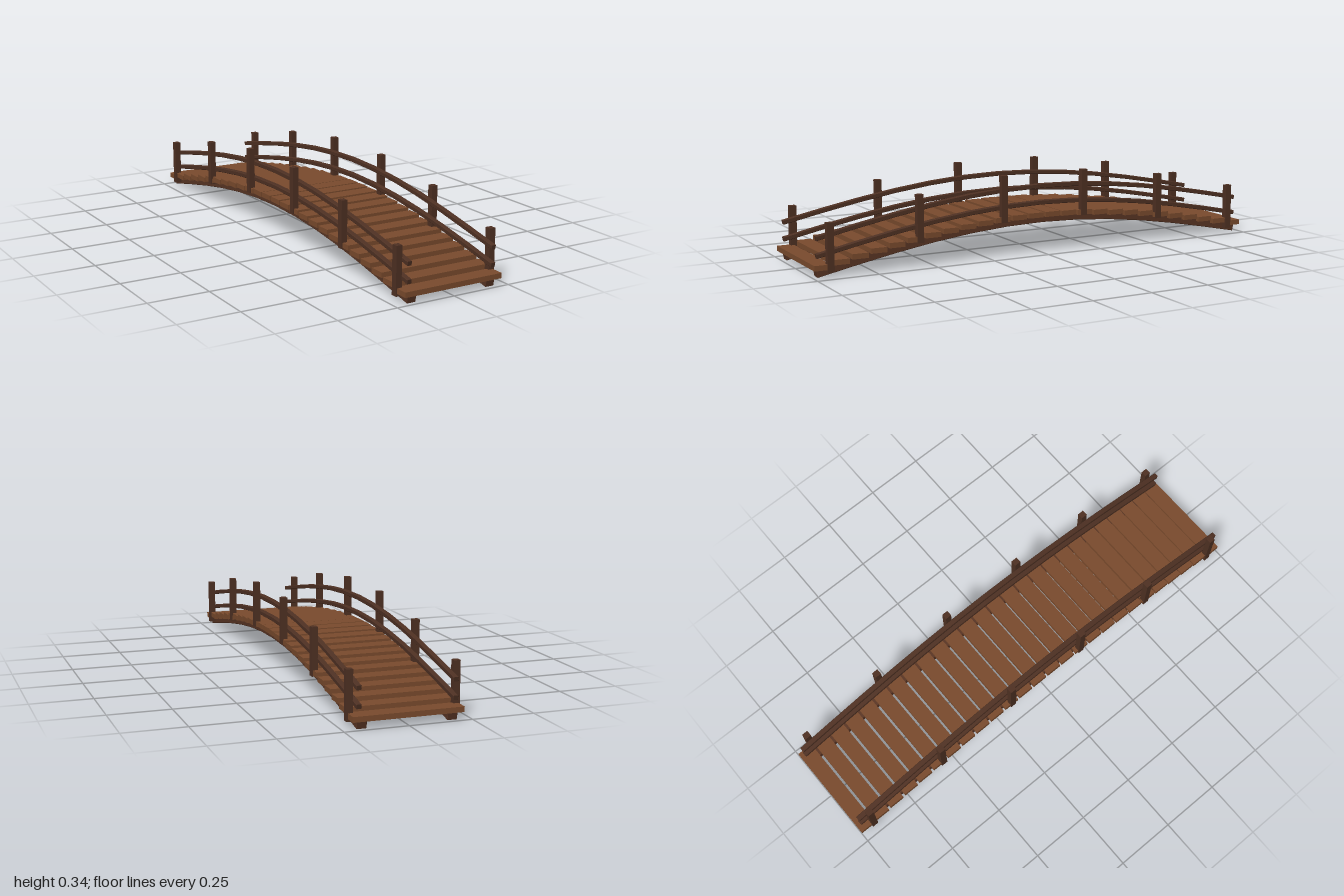
import * as THREE from 'three';

const wood = (color) => new THREE.MeshStandardMaterial({ color, flatShading: true });

// Vertical drop of the arch at distance z from the middle
const drop = (z, amount) => amount * (1 - Math.cos((z * Math.PI) / 2));

// A bent timber: side profile following the arch, extruded across x
function archedTimber(name, x, midY, width, height, amount, material) {
  const half = 0.983, segments = 12, bevel = 0.002;
  const upper = [], lower = [];
  for (let i = 0; i <= segments; i++) {
    const z = -half + (2 * half * i) / segments;
    const y = midY - drop(z, amount);
    const slope = -amount * (Math.PI / 2) * Math.sin((z * Math.PI) / 2);
    const n = new THREE.Vector2(-slope, 1).normalize().multiplyScalar(height / 2);
    upper.push(new THREE.Vector2(z + n.x, y + n.y));
    lower.push(new THREE.Vector2(z - n.x, y - n.y));
  }
  const geometry = new THREE.ExtrudeGeometry(new THREE.Shape([...lower, ...upper.reverse()]), {
    depth: width - 2 * bevel, bevelThickness: bevel, bevelSize: bevel, bevelOffset: -bevel, bevelSegments: 1,
  });
  geometry.translate(0, 0, bevel - width / 2);
  geometry.rotateY(-Math.PI / 2); // profile x -> z
  const mesh = new THREE.Mesh(geometry, material);
  mesh.name = name;
  mesh.position.x = x;
  return mesh;
}

export function createModel() {
  const bridge = new THREE.Group();
  bridge.name = 'footbridge';
  const plankWood = wood(0x7a4b2d);
  const beamWood = wood(0x593524);
  const postWood = wood(0x4f3123);

  // Deck: level planks stepping over the arch with narrow gaps
  const deck = new THREE.Group();
  deck.name = 'deck';
  const count = 26, depth = 0.067;
  const plankGeometry = new THREE.BoxGeometry(0.434, 0.021, depth);
  for (let i = 0; i < count; i++) {
    const z = (1 - depth / 2) * ((2 * i) / (count - 1) - 1);
    const plank = new THREE.Mesh(plankGeometry, plankWood);
    plank.name = 'plank';
    plank.position.set(0, 0.1655 - drop(z, 0.127), z);
    deck.add(plank);
  }
  bridge.add(deck);

  // Both sides: support beam, two rails and six posts
  const postHeight = 0.193;
  const postTops = [[0.187, 0.341], [0.56, 0.295], [0.934, 0.217]];
  const postGeometry = new THREE.BoxGeometry(0.025, postHeight, 0.027);
  for (const [sideName, s] of [['left', 1], ['right', -1]]) {
    const side = new THREE.Group();
    side.name = sideName + 'Side';
    side.add(archedTimber('supportBeam', s * 0.177, 0.149, 0.04, 0.036, 0.131, beamWood));
    side.add(archedTimber('lowerRail', s * 0.1885, 0.214, 0.021, 0.018, 0.131, postWood));
    side.add(archedTimber('upperRail', s * 0.1885, 0.283, 0.021, 0.018, 0.131, postWood));
    for (const [z, top] of postTops) {
      for (const end of [1, -1]) {
        const post = new THREE.Mesh(postGeometry, postWood);
        post.name = 'post';
        post.position.set(s * 0.2095, top - postHeight / 2, end * z);
        side.add(post);
      }
    }
    bridge.add(side);
  }
  return bridge;
}
